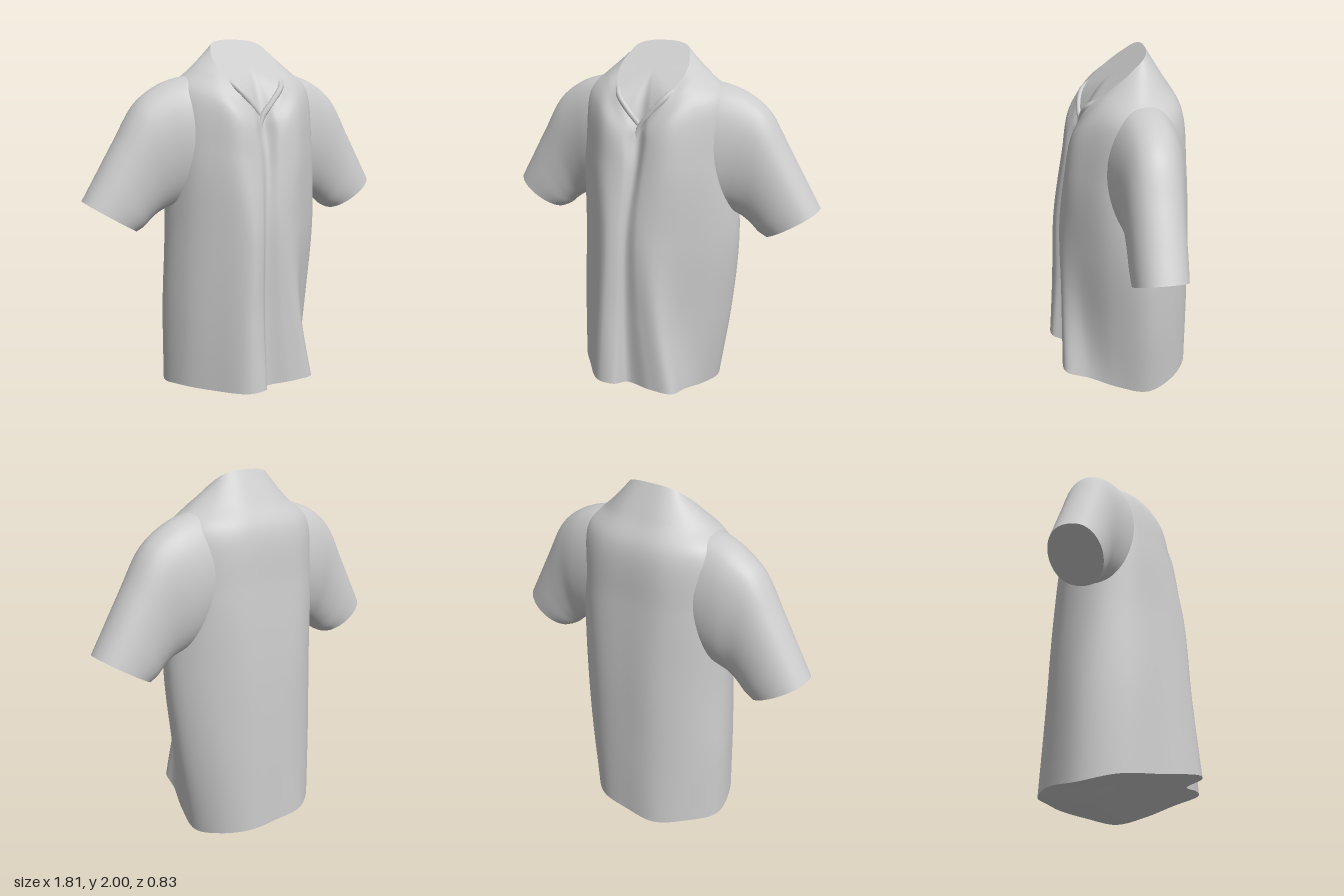
import * as THREE from 'three';

const material = new THREE.MeshStandardMaterial({ color: 0xcccccc });
const V = (x, y, z) => new THREE.Vector3(x, y, z);

// Torso outlines as x, z pairs: front centre, round by the +x side, the back and the -x side.
const hem = [-.03, .32, .12, .35, .25, .34, .285, .2, .34, .04, .375, -.14, .31, -.3, .18, -.4,
  0, -.42, -.2, -.41, -.35, -.31, -.47, -.13, -.44, .06, -.32, .24, -.18, .4, -.08, .4];
const waist = [-.04, .315, .06, .335, .165, .33, .24, .225, .38, .07, .445, -.12, .35, -.29, .19, -.39,
  0, -.41, -.2, -.39, -.36, -.29, -.465, -.12, -.42, .08, -.3, .24, -.16, .375, -.08, .36];
const chest = [-.03, .305, .04, .325, .13, .31, .26, .225, .41, .08, .475, -.09, .4, -.24, .21, -.37,
  0, -.39, -.2, -.375, -.37, -.26, -.445, -.09, -.4, .08, -.28, .23, -.14, .345, -.07, .335];
// Symmetrical outlines, +x half only.
const bust = [0, .25, .06, .28, .17, .275, .28, .2, .385, .09, .435, -.08, .385, -.23, .23, -.335, 0, -.355];
const shoulder = [0, .215, .07, .25, .17, .235, .27, .15, .37, .04, .415, -.08, .37, -.2, .21, -.3, 0, -.32];
const yoke = [0, .2, .06, .222, .15, .19, .22, .11, .28, .01, .31, -.08, .25, -.17, .14, -.23, 0, -.24];
const neck = [0, .185, .06, .19, .13, .165, .18, .08, .19, 0, .172, -.07, .145, -.115, .09, -.138, 0, -.145];

// Heights of the slanted neck opening and of the curved hem.
const neckHeight = (x, z) => 2 - .78 * (z + .145);
const hemHeight = (x, z) =>
  Math.max(.27 * (z + .1), -.19 * (z + .1)) + .06 * THREE.MathUtils.smoothstep(-x, .2, .47);

// 16 points of one outline, each at the height given for its x and z.
function ring(outline, height) {
  return Array.from({ length: 16 }, (_, i) => {
    const mirrored = outline.length === 18 && i > 8;
    const k = 2 * (mirrored ? 16 - i : i);
    const x = mirrored ? -outline[k] : outline[k], z = outline[k + 1];
    return V(x, height(x, z, Math.cos(i * Math.PI / 8)), z);
  });
}

// Height running from the side value to the front and back values.
const swept = (side, front, back) => (x, z, c) => side + c * c * ((c > 0 ? front : back) - side);

// Smooths key rings around and along into a dense grid of rows.
function smooth(keys, around, along) {
  const dense = keys.map(points => {
    const curve = new THREE.CatmullRomCurve3(points, true);
    return Array.from({ length: around }, (_, i) => curve.getPoint(i / around));
  });
  const columns = dense[0].map((_, i) => new THREE.CatmullRomCurve3(dense.map(r => r[i])));
  return Array.from({ length: along + 1 }, (_, j) => columns.map(c => c.getPoint(j / along)));
}

// Rows from a rim to its centre, settling quickly onto the given height.
function capRows(rim, centreX, centreZ, height, steps = 14) {
  return Array.from({ length: steps + 1 }, (_, j) => rim.map(p => {
    const t = j / steps;
    const x = THREE.MathUtils.lerp(p.x, centreX, t), z = THREE.MathUtils.lerp(p.z, centreZ, t);
    return V(x, height(x, z) + (p.y - height(p.x, p.z)) * (1 - t) ** 3, z);
  }));
}

// Mesh over rows of points, each row closed on itself, leaving out quads that start in a hole.
function surface(name, rows, inHole = () => false) {
  const n = rows[0].length;
  const index = [];
  for (let j = 0; j < rows.length - 1; j++) {
    for (let i = 0; i < n; i++) {
      if (inHole(rows[j][i])) continue;
      const a = j * n + i, b = j * n + (i + 1) % n;
      index.push(a, b, b + n, a, b + n, a + n);
    }
  }
  const geometry = new THREE.BufferGeometry().setFromPoints(rows.flat());
  geometry.setIndex(index);
  geometry.computeVertexNormals();
  const mesh = new THREE.Mesh(geometry, material);
  mesh.name = name;
  return mesh;
}

// Armholes in the torso, hidden by the sleeves.
const inArmhole = p =>
  Math.abs(p.x) > .3 && ((p.y - 1.45) / .27) ** 2 + ((p.z + .085) / .14) ** 2 < 1;

// Sleeve sections: top x, y, bottom x, y, middle z, half depth.
const sleeveSections = [
  [.28, 1.815, .35, 1.15, -.075, .2],
  [.38, 1.797, .39, 1.125, -.083, .188],
  [.48, 1.76, .44, 1.11, -.09, .172],
  [.6, 1.675, .5, 1.085, -.09, .152],
  [.72, 1.485, .55, 1.05, -.09, .143],
  [.83, 1.3, .59, 1.015, -.09, .14],
  [.905, 1.175, .63, .995, -.09, .135],
];

function createSleeve(s) {
  const group = new THREE.Group();
  group.name = s > 0 ? 'leftSleeve' : 'rightSleeve';
  const keys = sleeveSections.map(([tx, ty, bx, by, z, depth]) =>
    Array.from({ length: 16 }, (_, i) => {
      const a = i * Math.PI / 8;
      const u = (1 + Math.cos(a)) / 2;
      const w = Math.sign(Math.sin(a)) * Math.abs(Math.sin(a)) ** .85;
      return V(s * (bx + (tx - bx) * u), by + (ty - by) * u, z + s * (depth * w - .01));
    }));
  const rows = smooth(keys, 56, 48);
  const cuffHeight = x => .995 + (s * x - .63) * .655;
  group.add(surface('sleeve', rows));
  group.add(surface('cuffOpening', capRows(rows[rows.length - 1], s * .765, -.09, cuffHeight)));
  return group;
}

// Soft fold along a path on the collar.
function createLapel(name, points) {
  const curve = new THREE.CatmullRomCurve3(points);
  const mesh = new THREE.Mesh(new THREE.TubeGeometry(curve, 40, .016, 10), material);
  mesh.name = name;
  return mesh;
}

export function createModel() {
  const model = new THREE.Group();
  model.name = 'shirt';

  // Torso from hem to collar, with the front of the collar dropping to a V
  const collar = ring(neck, (x, z, c) => neckHeight(x, z) - .13 * Math.max(0, c) ** 7);
  const rows = smooth([
    ring(hem, hemHeight),
    ring(waist, swept(.53, .55, .53)),
    ring(chest, swept(.97, 1.05, 1)),
    ring(bust, swept(1.42, 1.38, 1.42)),
    ring(shoulder, swept(1.73, 1.51, 1.72)),
    ring(yoke, swept(1.825, 1.57, 1.85)),
    collar,
  ], 128, 96);
  model.add(surface('torso', rows, inArmhole));

  // Closed hem and neck openings
  model.add(surface('hemOpening', capRows(rows[0], -.04, -.1, hemHeight).reverse()));
  model.add(surface('neckOpening', capRows(rows[rows.length - 1], 0, 0, neckHeight)));

  // Lapel folds, the left one running on into the front closure
  model.add(createLapel('leftLapel', [V(.17, 1.8, .07), V(.13, 1.745, .16), V(.06, 1.665, .186),
    V(0, 1.59, .19), V(-.02, 1.5, .2), V(-.03, 1.4, .215)]));
  model.add(createLapel('rightLapel', [V(-.17, 1.8, .07), V(-.13, 1.745, .16), V(-.06, 1.665, .186),
    V(0, 1.59, .175)]));

  // Sleeves
  model.add(createSleeve(1), createSleeve(-1));
  return model;
}
